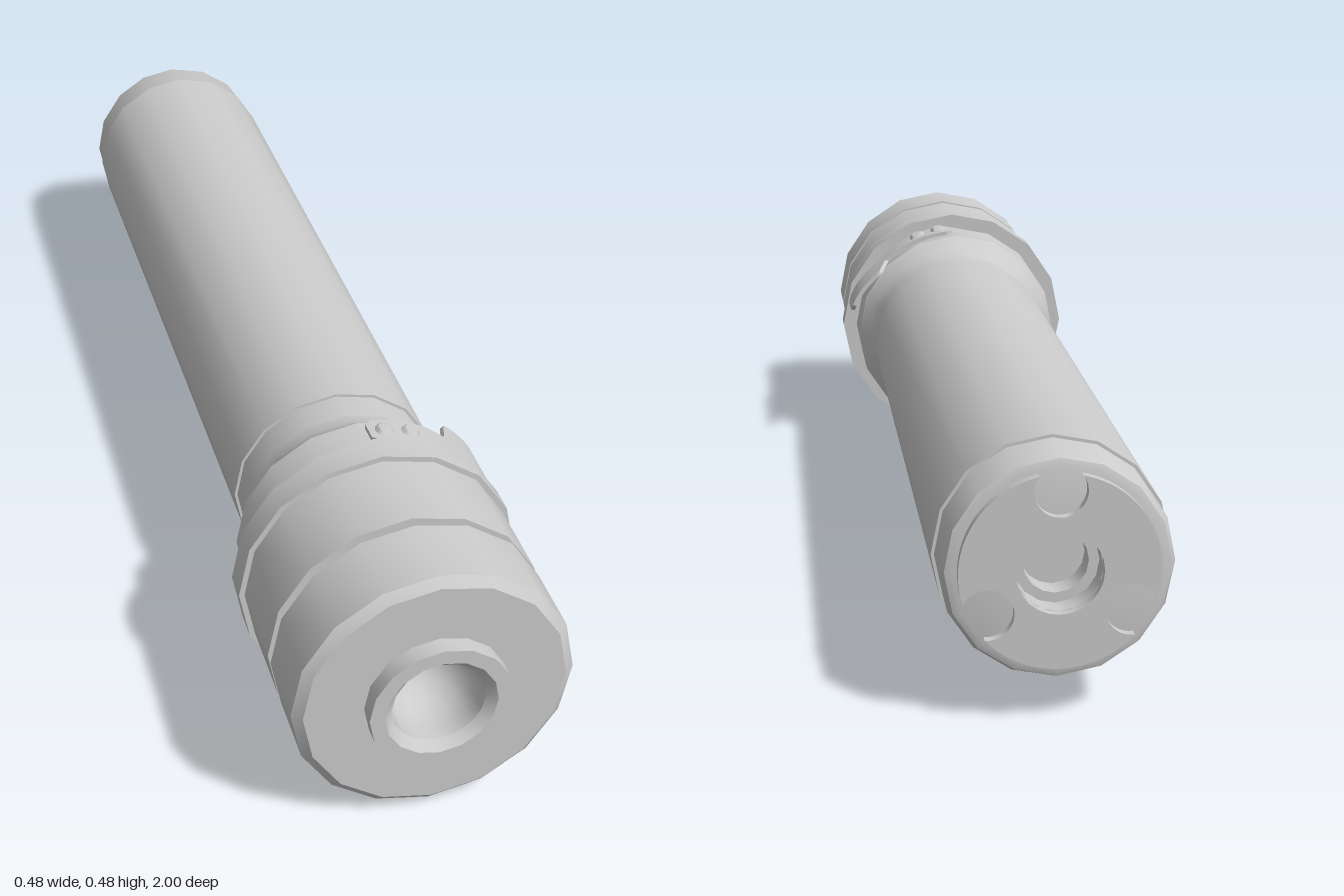
import * as THREE from 'three';
import { toCreasedNormals } from 'three/addons/utils/BufferGeometryUtils.js';

const SIDES = 16;
const AXIS_Y = 0.241;
const material = new THREE.MeshStandardMaterial({ color: 0xcccccc });

export function createModel() {
  const model = new THREE.Group();
  model.name = 'flashlight';
  const barrel = new THREE.Group();
  barrel.name = 'barrel';
  barrel.position.y = AXIS_Y;
  model.add(barrel);

  const add = (name, geometry, crease = 0.6) => {
    const mesh = new THREE.Mesh(toCreasedNormals(geometry, crease), material);
    mesh.name = name;
    barrel.add(mesh);
    return mesh;
  };
  // Profile of [radius, z] pairs running from back to front, spun around z
  const turned = (name, profile) => add(name, new THREE.LatheGeometry(
    profile.map(([r, z]) => new THREE.Vector2(r, z)), SIDES).rotateX(Math.PI / 2));

  // Handle with the rounded tail end, and its bore
  turned('handle', [
    [0, -0.91], [0.05, -0.91], [0.05, -0.95], [0.066, -0.95], [0.066, -0.985],
    [0.16, -0.985], [0.171, -0.981], [0.178, -0.965], [0.178, 0.46],
  ]);
  // Slightly raised grip sleeve
  turned('grip', [[0.176, -0.9], [0.183, -0.9], [0.183, 0.39], [0.176, 0.39]]);

  // Neck flaring into the collar
  turned('neck', [
    [0.176, 0.44], [0.179, 0.455], [0.183, 0.475], [0.192, 0.495],
    [0.203, 0.51], [0.211, 0.52], [0.212, 0.615],
  ]);
  turned('flange', [[0.2, 0.61], [0.2405, 0.61], [0.2405, 0.66], [0.22, 0.66]]);

  // Head with a groove and a chamfered front edge
  turned('head', [
    [0.231, 0.65], [0.231, 0.815], [0.215, 0.815], [0.215, 0.833],
    [0.231, 0.833], [0.231, 0.957], [0.215, 0.97], [0.1, 0.97],
  ]);

  // Nozzle with a bowl shaped recess
  const nozzle = [[0.117, 0.965], [0.117, 1], [0.092, 1], [0.077, 0.985]];
  for (let i = 0; i <= 8; i++) {
    const a = (i / 8) * Math.PI / 2;
    nozzle.push([0.077 * Math.cos(a), 0.96 - 0.09 * Math.sin(a)]);
  }
  turned('nozzle', nozzle);

  // Tail plate with three scallops around the rim and a central hole
  const R = 0.152, d = 0.125, r = 0.04;
  const phi = Math.acos((R * R + d * d - r * r) / (2 * R * d));
  const beta = Math.atan2(R * Math.sin(phi), R * Math.cos(phi) - d);
  const plate = new THREE.Shape();
  const third = Math.PI * 2 / 3;
  for (let i = 0; i < 3; i++) {
    const t = Math.PI / 2 + i * third;
    plate.absarc(d * Math.cos(t), d * Math.sin(t), r, t - beta, t + beta, true);
    plate.absarc(0, 0, R, t + phi, t + third - phi, false);
  }
  plate.closePath();
  plate.holes.push(new THREE.Path().absarc(0, 0, 0.066, 0, Math.PI * 2, true));
  const plateGeometry = new THREE.ExtrudeGeometry(plate,
    { depth: 0.017, bevelEnabled: false, curveSegments: 12 });
  add('tailPlate', plateGeometry.translate(0, 0, -1));

  // Clip: a band hugging the neck that widens into a lifted thumb tab
  const smooth = (x, a, b) => THREE.MathUtils.smoothstep(x, a, b);
  const clip = new THREE.BoxGeometry(1, 1, 1, 48, 1, 1);
  const p = clip.attributes.position;
  for (let i = 0; i < p.count; i++) {
    const deg = 2 + (p.getX(i) + 0.5) * 73;
    const a = THREE.MathUtils.degToRad(deg);
    const tab = smooth(deg, 43, 50);
    const round = 0.012 * (smooth(deg, 72, 75) + 1 - smooth(deg, 2, 5));
    const back = 0.527 - 0.052 * tab + round;
    const front = 0.587 - 0.017 * tab - round;
    const radius = 0.212 + 0.018 * smooth(deg, 40, 75) + 0.008 * (p.getY(i) + 0.5);
    p.setXYZ(i, radius * Math.sin(a), radius * Math.cos(a),
      THREE.MathUtils.lerp(back, front, p.getZ(i) + 0.5));
  }
  add('clip', clip);

  // Rivets holding the clip
  for (const x of [0.035, 0.08]) {
    const rivet = add('rivet', new THREE.SphereGeometry(0.017, 12, 5, 0, Math.PI * 2, 0, Math.PI / 2), 1);
    const a = Math.asin(x / 0.218);
    rivet.scale.y = 0.7;
    rivet.position.set(x, 0.218 * Math.cos(a), 0.558);
    rivet.rotation.z = -a;
  }
  return model;
}
